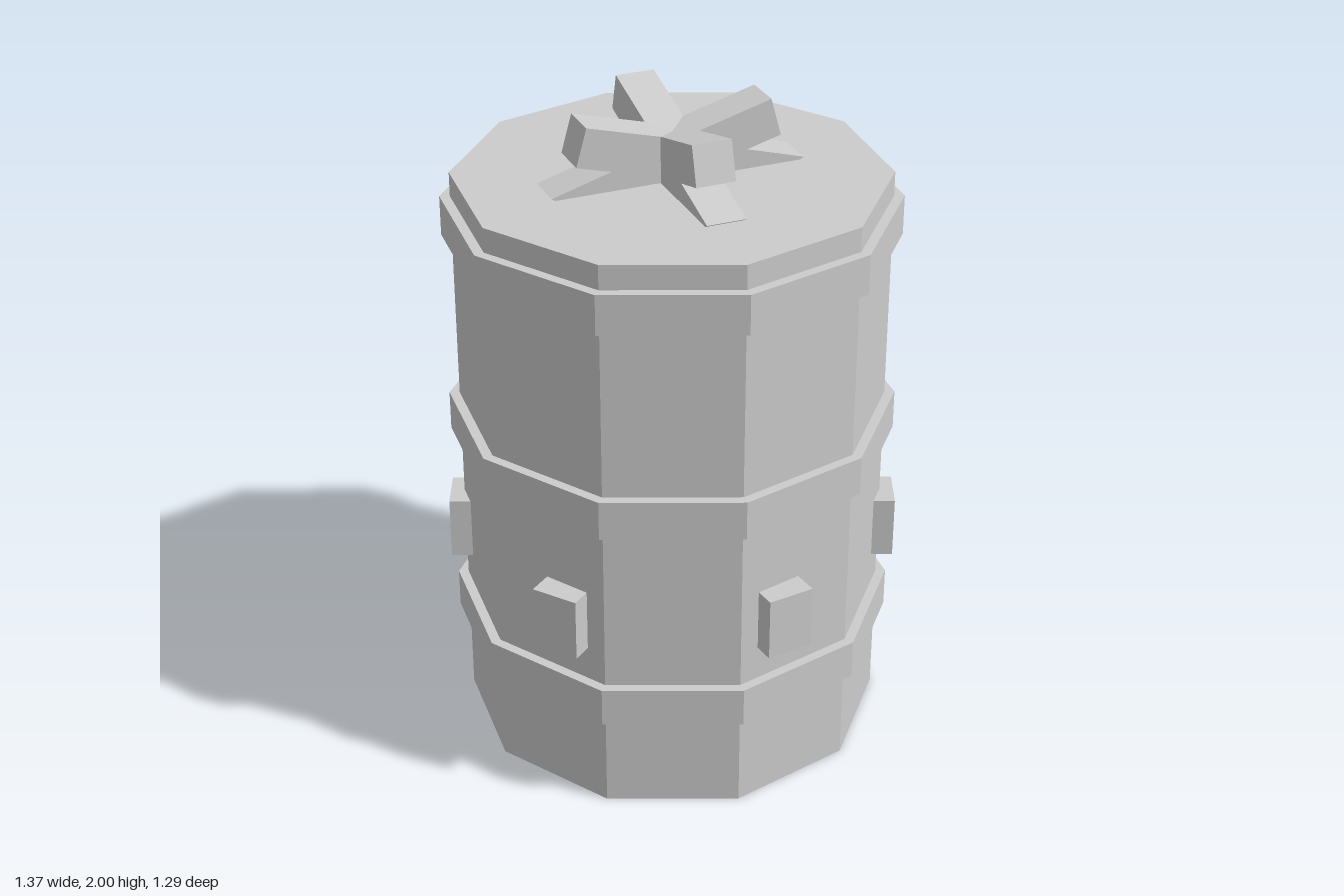
import * as THREE from 'three';

export function createModel() {
  const group = new THREE.Group();
  const material = new THREE.MeshStandardMaterial({ color: 0xcccccc, flatShading: true });

  function add(name, geometry, y = 0, angle = 0) {
    const mesh = new THREE.Mesh(geometry, material);
    mesh.name = name;
    mesh.position.y = y;
    mesh.rotation.y = angle;
    group.add(mesh);
  }

  // Ten-sided prism with a corner on the x axis
  const prism = (radius, height) =>
    new THREE.CylinderGeometry(radius, radius, height, 10, 1, false, Math.PI / 2);

  // Barrel body and its hoops
  add('body', prism(0.645, 1.796), 0.898);
  for (const y of [0.362, 1.01, 1.66]) add('hoop', prism(0.676, 0.122), y);

  // Six small blocks around the lower body
  const block = new THREE.BoxGeometry(0.12, 0.195, 0.145).translate(0.627, 0, 0);
  for (let i = 0; i < 6; i++) add('sideBlock', block, 0.628, i * Math.PI / 3);

  // Cross handle: each arm splits into a raised prong and a low foot
  const profile = new THREE.Shape([
    [0, 1.79], [0.372, 1.79], [0.392, 1.803], [0.21, 1.856],
    [0.316, 1.885], [0.284, 2], [0, 1.922],
  ].map(([x, y]) => new THREE.Vector2(x, y)));
  const arm = new THREE.ExtrudeGeometry(profile, { depth: 0.12, bevelEnabled: false });
  arm.translate(0, 0, -0.06);
  for (let i = 0; i < 4; i++) add('handleArm', arm, 0, Math.PI / 8 + i * Math.PI / 2);

  return group;
}
